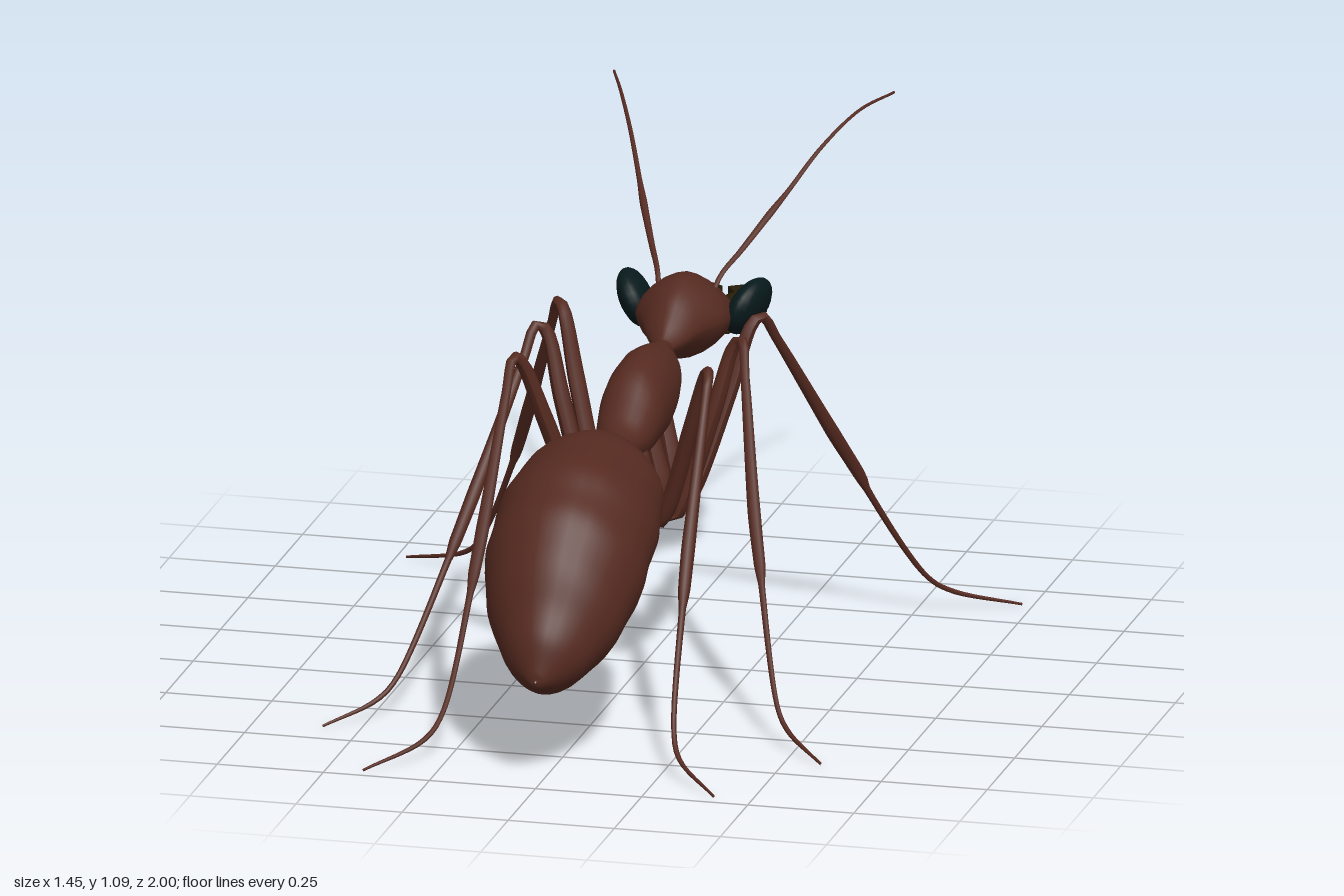
import * as THREE from 'three';

const V = (x, y, z) => new THREE.Vector3(x, y, z);

// Smooth body through elliptical sections [z, centre y, half height, half width, slant];
// a pinch above 1 draws the sections towards a diamond
function loft(sections, steps, sides, { pinch = 1, ripple = () => 1 } = {}) {
  const spine = new THREE.CatmullRomCurve3(sections.map(s => V(s[0], s[1], s[4] || 0)), false, 'catmullrom', 0.5);
  const size = new THREE.CatmullRomCurve3(sections.map(s => V(s[2], s[3], 0)), false, 'catmullrom', 0.5);
  const bend = n => Math.sign(n) * Math.abs(n) ** pinch;
  const pos = [], index = [];
  for (let i = 0; i <= steps; i++) {
    const c = spine.getPoint(i / steps), r = size.getPoint(i / steps), k = ripple(i / steps);
    for (let j = 0; j < sides; j++) {
      const a = j / sides * Math.PI * 2, dy = Math.max(r.x, 0.001) * k * bend(Math.sin(a));
      pos.push(Math.max(r.y, 0.001) * k * bend(Math.cos(a)), c.y + dy, c.x + c.z * dy);
      if (i < steps) {
        const p = i * sides + j, q = i * sides + (j + 1) % sides;
        index.push(p, q, p + sides, q, q + sides, p + sides);
      }
    }
  }
  const g = new THREE.BufferGeometry();
  g.setAttribute('position', new THREE.Float32BufferAttribute(pos, 3));
  g.setIndex(index);
  g.computeVertexNormals();
  return g;
}

// Tube whose radius follows the path; points are [x, y, z, radius]
function limb(points, steps, sides, mirror) {
  const curve = new THREE.CatmullRomCurve3(points.map(p => V(p[0] * mirror, p[1], p[2])));
  const g = new THREE.TubeGeometry(curve, steps, 1, sides);
  const pos = g.attributes.position, v = V(0, 0, 0);
  for (let i = 0; i <= steps; i++) {
    const c = curve.getPointAt(i / steps);
    const t = curve.getUtoTmapping(i / steps) * (points.length - 1);
    const k = Math.min(Math.floor(t), points.length - 2);
    const r = THREE.MathUtils.lerp(points[k][3], points[k + 1][3], t - k);
    for (let j = 0; j <= sides; j++) {
      const n = i * (sides + 1) + j;
      v.fromBufferAttribute(pos, n).sub(c).multiplyScalar(r).add(c);
      pos.setXYZ(n, v.x, v.y, v.z);
    }
  }
  g.computeVertexNormals();
  return g;
}

const HEAD = [
  [-0.515, 0.675, 0.012, 0.02], [-0.505, 0.68, 0.045, 0.06], [-0.47, 0.695, 0.077, 0.092],
  [-0.40, 0.717, 0.097, 0.108], [-0.33, 0.727, 0.1, 0.108], [-0.265, 0.727, 0.078, 0.077],
  [-0.21, 0.715, 0.048, 0.05], [-0.16, 0.70, 0.023, 0.02], [-0.12, 0.69, 0.02, 0.02]];
const THORAX = [
  [-0.18, 0.703, 0.018, 0.018], [-0.14, 0.698, 0.028, 0.03], [-0.08, 0.668, 0.07, 0.066], [0, 0.645, 0.105, 0.077],
  [0.10, 0.633, 0.1, 0.077], [0.18, 0.605, 0.07, 0.068], [0.24, 0.592, 0.043, 0.048],
  [0.30, 0.592, 0.04, 0.033], [0.38, 0.59, 0.045, 0.03]];
const ABDOMEN = [
  [0.325, 0.59, 0.035, 0.025, 0], [0.36, 0.583, 0.065, 0.06, 0], [0.40, 0.58, 0.102, 0.118, 0.1],
  [0.48, 0.56, 0.14, 0.167, 0.28], [0.595, 0.52, 0.165, 0.185, 0.45], [0.705, 0.462, 0.168, 0.187, 0.45],
  [0.80, 0.39, 0.155, 0.17, 0.45], [0.88, 0.317, 0.112, 0.127, 0.5], [0.947, 0.272, 0.072, 0.076, 0.5],
  [0.99, 0.255, 0.025, 0.025, 0.3], [1, 0.255, 0.002, 0.002, 0]];

// Legs run hip, bent base, thigh, knee, shin, ankle, foot
const LEGS = {
  frontLeg: [[0.03, 0.62, -0.03, 0.02], [0.065, 0.48, -0.003, 0.024], [0.088, 0.38, 0.003, 0.016], [0.115, 0.43, -0.012, 0.021],
    [0.18, 0.64, -0.075, 0.02], [0.223, 0.792, -0.12, 0.015], [0.24, 0.805, -0.138, 0.012], [0.265, 0.74, -0.18, 0.011],
    [0.36, 0.475, -0.33, 0.016], [0.405, 0.355, -0.40, 0.014], [0.418, 0.32, -0.413, 0.008],
    [0.53, 0.085, -0.53, 0.006], [0.58, 0.045, -0.565, 0.006], [0.725, 0.004, -0.635, 0.003]],
  middleLeg: [[0.03, 0.60, 0.09, 0.02], [0.065, 0.47, 0.1, 0.024], [0.088, 0.38, 0.1, 0.016], [0.115, 0.43, 0.092, 0.021],
    [0.18, 0.64, 0.062, 0.02], [0.223, 0.792, 0.042, 0.015], [0.242, 0.805, 0.052, 0.012], [0.262, 0.73, 0.10, 0.011],
    [0.33, 0.465, 0.28, 0.016], [0.36, 0.36, 0.345, 0.014], [0.37, 0.325, 0.368, 0.008],
    [0.45, 0.085, 0.53, 0.006], [0.485, 0.045, 0.57, 0.006], [0.588, 0.004, 0.668, 0.003]],
  backLeg: [[0.03, 0.59, 0.19, 0.02], [0.06, 0.48, 0.203, 0.024], [0.085, 0.405, 0.203, 0.016], [0.11, 0.45, 0.208, 0.021],
    [0.17, 0.64, 0.247, 0.02], [0.218, 0.792, 0.29, 0.015], [0.23, 0.805, 0.312, 0.012], [0.234, 0.73, 0.365, 0.011],
    [0.243, 0.46, 0.545, 0.016], [0.248, 0.37, 0.605, 0.014], [0.25, 0.335, 0.628, 0.008],
    [0.272, 0.10, 0.79, 0.006], [0.30, 0.05, 0.85, 0.006], [0.415, 0.004, 0.972, 0.003]]
};
const ANTENNA = [[0.062, 0.77, -0.37, 0.006], [0.075, 0.81, -0.405, 0.006], [0.105, 0.85, -0.47, 0.007],
  [0.15, 0.915, -0.57, 0.009], [0.175, 0.95, -0.63, 0.006], [0.225, 1.025, -0.745, 0.005],
  [0.28, 1.078, -0.87, 0.004], [0.33, 1.087, -0.998, 0.003]];

// Mandible outline seen from above, [x, z], with a toothed inner edge
const JAW = [[0.035, -0.49], [0.018, -0.54], [0.027, -0.575], [0.012, -0.60], [0.03, -0.63], [0.012, -0.66],
  [0.032, -0.695], [0.006, -0.735], [0.07, -0.778], [0.113, -0.68], [0.107, -0.60], [0.07, -0.49]];

export function createModel() {
  const model = new THREE.Group();
  const mat = (name, color) => Object.assign(new THREE.MeshStandardMaterial({ color }), { name });
  const shell = mat('reddish brown shell', 0x552a20);
  const eyeMat = mat('dark teal eye', 0x081a1c);
  const jawMat = mat('dark olive mandible', 0x261d09);
  const add = (name, geometry, material) => {
    const m = new THREE.Mesh(geometry, material);
    m.name = name;
    model.add(m);
    return m;
  };

  // Body: ridged head, smooth thorax and shallow bands on the abdomen
  add('head', loft(HEAD, 32, 24, { pinch: 1.25 }), shell);
  add('thorax', loft(THORAX, 32, 20), shell);
  const bands = t => 1 + 0.015 * Math.sin(t * Math.PI * 16) * Math.sin(t * Math.PI);
  add('abdomen', loft(ABDOMEN, 80, 28, { pinch: 1.08, ripple: bands }), shell);

  for (const side of [1, -1]) {
    const label = side > 0 ? 'left ' : 'right ';
    for (const [name, points] of Object.entries(LEGS)) add(label + name, limb(points, 80, 8, side), shell);
    add(label + 'antenna', limb(ANTENNA, 36, 6, side), shell);

    // Plump oval eyes leaning outward at the top and front
    const eye = add(label + 'eye', new THREE.SphereGeometry(1, 20, 14), eyeMat);
    eye.scale.set(0.037, 0.071, 0.083);
    eye.position.set(side * 0.133, 0.732, -0.433);
    eye.rotation.set(0, side * -0.2, side * -0.42);

    // Flat toothed mandibles
    const shape = new THREE.Shape(JAW.map(([x, z]) => new THREE.Vector2(x * side, -z)));
    const jaw = new THREE.ExtrudeGeometry(shape, { depth: 0.036, bevelEnabled: false });
    jaw.rotateX(-Math.PI / 2).translate(0, 0.642, 0);
    add(label + 'mandible', jaw, jawMat);
  }
  return model;
}
